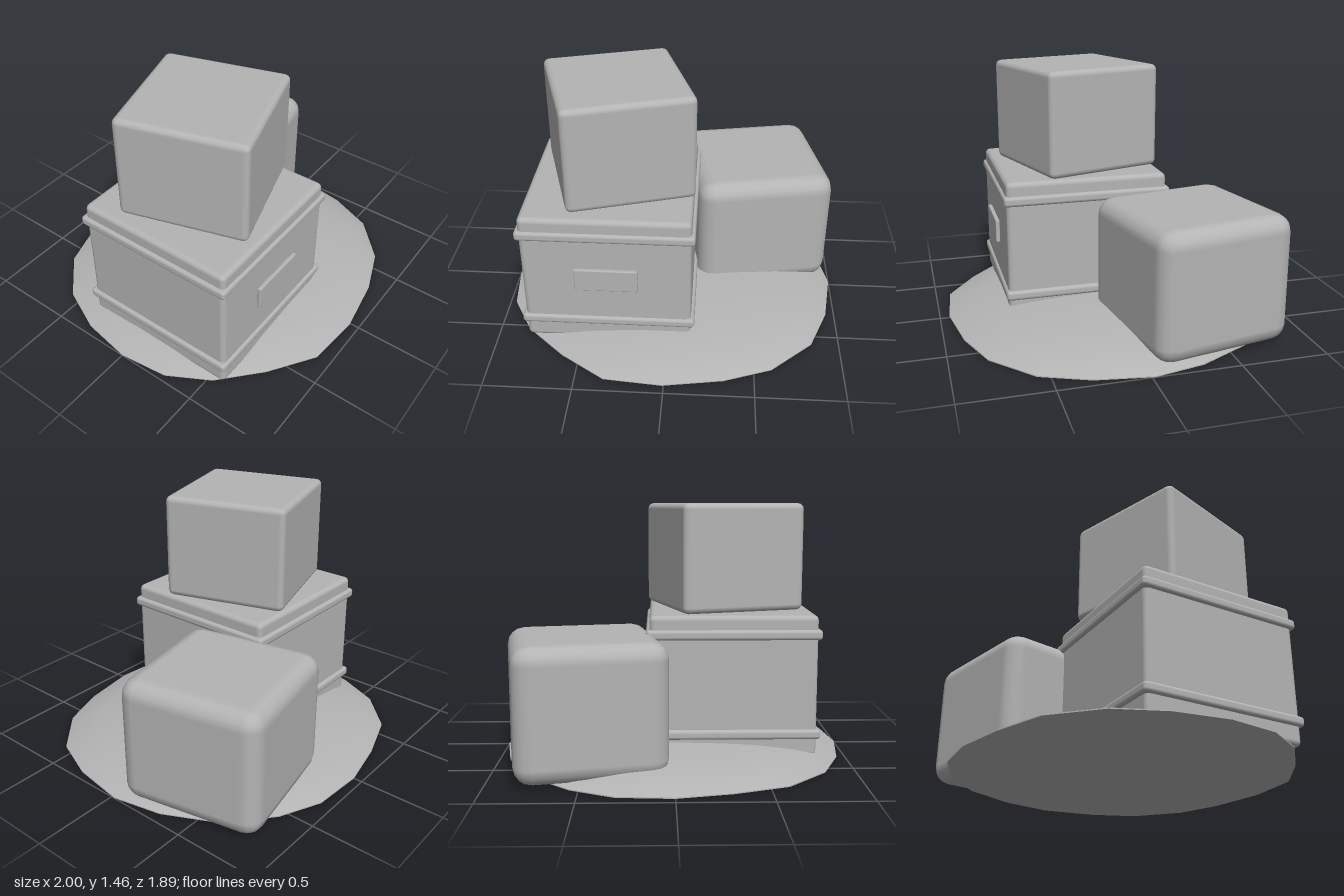
import * as THREE from 'three';
import { RoundedBoxGeometry } from 'three/addons/geometries/RoundedBoxGeometry.js';

export function createModel() {
  const root = new THREE.Group();
  const grey = new THREE.MeshStandardMaterial({ color: 0xb4b4b4 });
  grey.name = 'plain grey';

  const add = (parent, name, geometry) => {
    const mesh = new THREE.Mesh(geometry, grey);
    mesh.name = name;
    parent.add(mesh);
    return mesh;
  };

  // Rounded block given by its footprint centre and its bottom and top heights
  const block = (parent, name, x, z, w, d, y0, y1, r, segments = 2, turn = 0) => {
    const mesh = add(parent, name, new RoundedBoxGeometry(w, y1 - y0, d, segments, r));
    mesh.position.set(x, (y0 + y1) / 2, z);
    mesh.rotation.y = THREE.MathUtils.degToRad(turn);
    return mesh;
  };

  // Large banded crate
  const crate = new THREE.Group();
  crate.name = 'bandedCrate';
  root.add(crate);
  block(crate, 'crateBody', -0.342, 0.12, 0.955, 0.96, 0.02, 0.84, 0.03);
  block(crate, 'lowerBand', -0.342, 0.118, 0.995, 0.995, 0.128, 0.185, 0.02);
  block(crate, 'upperBand', -0.342, 0.118, 0.995, 0.995, 0.702, 0.76, 0.02);
  block(crate, 'labelPlate', -0.342, 0.616, 0.357, 0.025, 0.39, 0.53, 0.006);

  // Loose boxes, each turned a little
  block(root, 'topBox', -0.305, 0.094, 0.735, 0.735, 0.845, 1.463, 0.035, 2, 17);
  block(root, 'sideBox', 0.497, -0.385, 0.83, 0.83, 0.01, 0.747, 0.1, 2, 11);

  // Low mound of ground: irregular rim lofted inward to a gentle crown
  const rim = [
    [0, -0.95], [0.31, -0.93], [0.55, -0.82], [0.79, -0.61], [0.94, -0.31],
    [1, -0.02], [0.95, 0.3], [0.84, 0.57], [0.6, 0.79], [0.33, 0.89],
    [-0.01, 0.945], [-0.34, 0.915], [-0.6, 0.74], [-0.83, 0.53], [-0.965, 0.29],
    [-1, 0], [-0.95, -0.3], [-0.83, -0.57], [-0.6, -0.79], [-0.3, -0.89],
  ];
  const rings = [[1, 0.006], [0.93, 0.035], [0.8, 0.068], [0.6, 0.097], [0.3, 0.118]];
  const n = rim.length;
  const points = [];
  const faces = [];
  for (const [s, y] of rings) {
    // the crown leans towards the right-hand side
    for (const [x, z] of rim) points.push(x * s + 0.12 * (1 - s), y, z * s);
  }
  points.push(0.12, 0.124, 0);
  const crown = rings.length * n;
  for (let i = 0; i < n; i++) {
    const j = (i + 1) % n;
    for (let k = 0; k < rings.length - 1; k++) {
      const a = k * n, b = a + n;
      faces.push(a + i, b + i, a + j, a + j, b + i, b + j);
    }
    const last = (rings.length - 1) * n;
    faces.push(last + i, crown, last + j);
  }
  const top = new THREE.BufferGeometry();
  top.setAttribute('position', new THREE.Float32BufferAttribute(points, 3));
  top.setIndex(faces);
  top.computeVertexNormals();
  const ground = new THREE.Group();
  ground.name = 'ground';
  root.add(ground);
  add(ground, 'groundMound', top);

  // Flat underside with a thin rim
  const outline = new THREE.Shape(rim.map(([x, z]) => new THREE.Vector2(x, -z)));
  const base = new THREE.ExtrudeGeometry(outline, { depth: 0.006, bevelEnabled: false });
  base.rotateX(-Math.PI / 2);
  add(ground, 'groundBase', base);

  return root;
}
